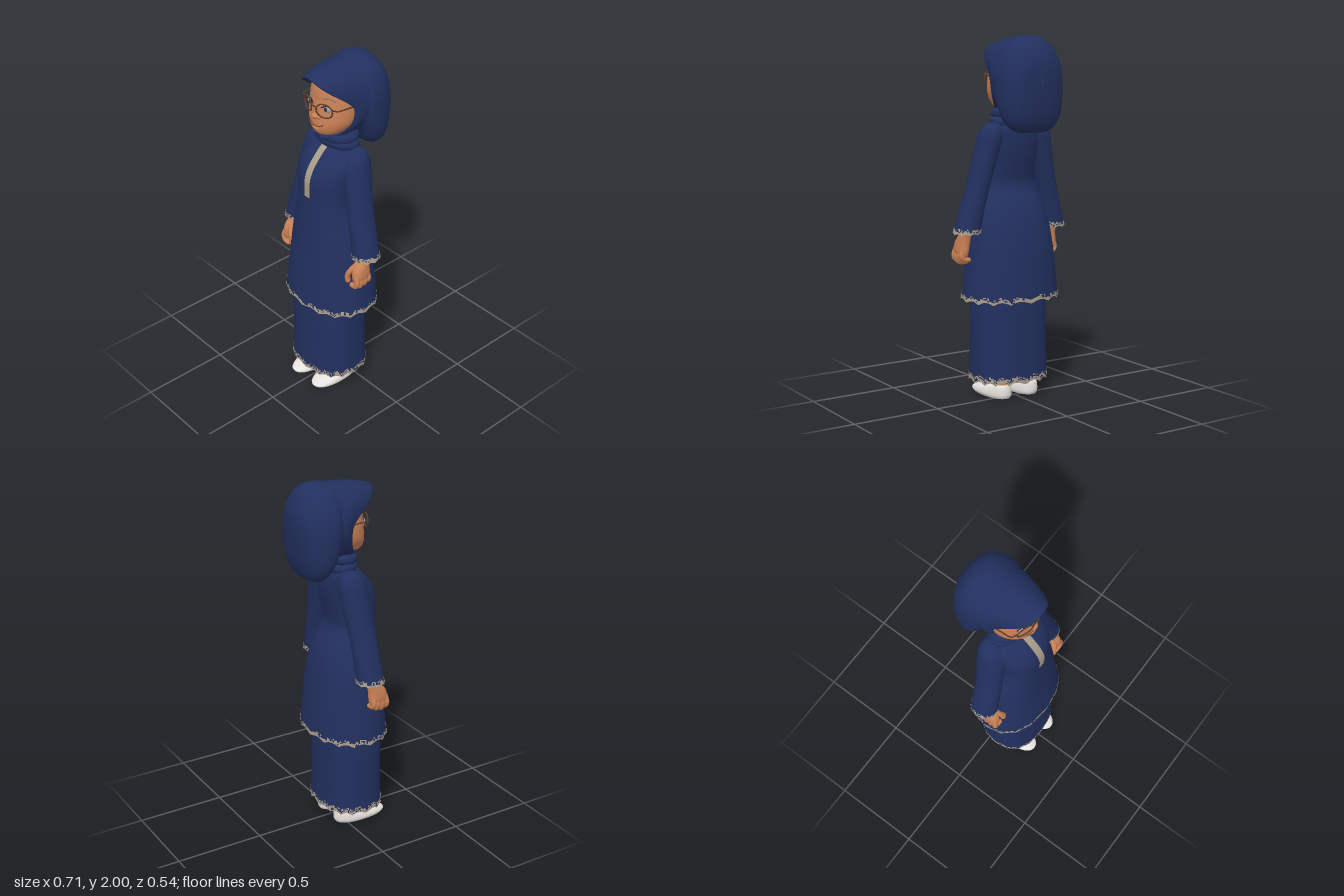
import * as THREE from 'three';

const mat = (name, color, double) => {
  const m = new THREE.MeshStandardMaterial({ color });
  m.name = name;
  if (double) m.side = THREE.DoubleSide;
  return m;
};
const spow = (v, p) => Math.sign(v) * Math.abs(v) ** p;

// Smooth resampling of cross-sections (arrays of numbers)
function refine(rows, k = 4) {
  const out = [], last = rows.length - 1;
  for (let i = 0; i < last; i++) {
    const [a, b, c, d] = [-1, 0, 1, 2].map(o => rows[Math.min(last, Math.max(0, i + o))]);
    for (let j = 0; j < k; j++) {
      const t = j / k;
      out.push(b.map((_, n) => b[n] + 0.5 * t * (c[n] - a[n] + t * (2 * a[n] - 5 * b[n] + 4 * c[n] - d[n]
        + t * (3 * (b[n] - c[n]) + d[n] - a[n])))));
    }
  }
  out.push(rows[last]);
  return out;
}

// Skin over a grid of points; closed joins the last column to the first
function surface(grid, closed = true) {
  const cols = grid[0].length, idx = [];
  for (let i = 0; i < grid.length - 1; i++)
    for (let j = 0; j < cols - (closed ? 0 : 1); j++) {
      const a = i * cols + j, b = i * cols + (j + 1) % cols;
      idx.push(a, b, a + cols, b, b + cols, a + cols);
    }
  const g = new THREE.BufferGeometry();
  g.setAttribute('position', new THREE.Float32BufferAttribute(grid.flat(2), 3));
  g.setIndex(idx);
  g.computeVertexNormals();
  return g;
}

// A ring is [y, half width, front z, back z, centre x], listed from top to bottom
function ringPoint([y, rx, zf, zb, cx], a, n, grow = 0, dy = 0) {
  return [cx + (rx + grow) * spow(Math.cos(a), 2 / n), y + dy,
    (zf + zb) / 2 + ((zf - zb) / 2 + grow) * spow(Math.sin(a), 2 / n)];
}
function loft(rings, { n = 2, cols = 64, hem, capTop, capEnd } = {}) {
  const grid = rings.map((r, i) => Array.from({ length: cols }, (_, j) => {
    const a = j / cols * Math.PI * 2;
    return ringPoint(r, a, n, 0, hem && i === rings.length - 1 ? hem(a) : 0);
  }));
  const cap = r => Array.from({ length: cols }, () => [r[4], r[0], (r[2] + r[3]) / 2]);
  if (capTop) grid.unshift(cap(rings[0]));
  if (capEnd) grid.push(cap(rings[rings.length - 1]));
  return surface(grid);
}
function ringAt(rings, y) {
  let i = 0;
  while (i < rings.length - 2 && rings[i + 1][0] > y) i++;
  const a = rings[i], b = rings[i + 1], t = THREE.MathUtils.clamp((a[0] - y) / (a[0] - b[0]), 0, 1);
  return a.map((v, k) => k ? v + (b[k] - v) * t : y);
}
function frontZ(rings, x, y, n) {
  const [, rx, zf, zb] = ringAt(rings, y);
  return (zf + zb) / 2 + (zf - zb) / 2 * (1 - Math.min(1, Math.abs(x / rx)) ** n) ** (1 / n);
}

// Broken lace border made of small cells that thin out upward
function lace(rings, hem, n, cells, rows, size, seed) {
  const rand = () => (seed = (seed * 16807) % 2147483647) / 2147483647;
  const y0 = rings[rings.length - 1][0], pos = [];
  const at = (j, k) => {
    const a = j / cells * Math.PI * 2, y = y0 + hem(a) + k * size;
    return ringPoint(ringAt(rings, y), a, n, 0.004);
  };
  for (let k = 0; k < rows; k++)
    for (let j = 0; j < cells; j++) {
      if (rand() > 0.97 - 0.75 * k / rows) continue;
      const a = at(j, k), b = at(j + 1, k), c = at(j + 1, k + 1), d = at(j, k + 1);
      pos.push(...d, ...c, ...a, ...c, ...b, ...a);
    }
  const g = new THREE.BufferGeometry();
  g.setAttribute('position', new THREE.Float32BufferAttribute(pos, 3));
  g.computeVertexNormals();
  return g;
}

function tube(points, radius, seg = 16, sides = 8) {
  return new THREE.TubeGeometry(new THREE.CatmullRomCurve3(points.map(p => new THREE.Vector3(...p))), seg, radius, sides);
}

export function createModel() {
  const root = new THREE.Group();
  root.name = 'standingWoman';
  const navy = mat('navy cloth', 0x22305f, true), skin = mat('skin', 0xca8155), white = mat('shoe white', 0xe6e2df);
  const beige = mat('beige lace', 0xa99c88, true), brown = mat('brown frame', 0x5c3d2b), grey = mat('brow grey', 0x8c7a70);
  const eye = mat('eye grey', 0x9a9ca8), dark = mat('pupil dark', 0x252a3c), lip = mat('lip', 0x8a4a34);
  const add = (name, geo, m, x = 0, y = 0, z = 0) => {
    const mesh = new THREE.Mesh(geo, m);
    mesh.name = name;
    mesh.position.set(x, y, z);
    root.add(mesh);
    return mesh;
  };
  const ball = (name, m, p, s) => add(name, new THREE.SphereGeometry(1, 20, 14), m, ...p).scale.set(...s);

  // Tunic and skirt with scalloped hems
  const tunic = refine([[1.57, .07, .05, -.055, 0], [1.53, .125, .08, -.07, 0], [1.49, .165, .125, -.078, 0],
    [1.42, .17, .185, -.076, 0], [1.35, .165, .213, -.066, 0], [1.27, .16, .215, -.048, 0], [1.19, .166, .216, -.038, 0],
    [1.1, .193, .219, -.08, 0], [1.0, .222, .225, -.115, 0], [.85, .247, .236, -.14, 0], [.7, .265, .25, -.152, 0],
    [.55, .28, .263, -.16, 0]]);
  const skirt = refine([[.66, .2, .225, -.09, 0], [.5, .212, .236, -.1, 0], [.3, .215, .24, -.102, 0], [.085, .218, .245, -.106, 0]]);
  const hemWave = a => 0.016 * Math.abs(Math.sin(8 * a));
  add('tunic', loft(tunic, { n: 2.3, cols: 128, hem: hemWave }), navy);
  add('tunicLace', lace(tunic, hemWave, 2.3, 160, 4, .007, 11), beige);
  add('skirt', loft(skirt, { n: 2.5, cols: 128, hem: hemWave }), navy);
  add('skirtLace', lace(skirt, hemWave, 2.5, 160, 5, .007, 37), beige);

  // Placket down the chest
  const strip = (hw, off) => surface(Array.from({ length: 15 }, (_, i) => {
    const y = 1.52 - i * 0.0193;
    return [-hw, hw].map(x => [x, y, frontZ(tunic, x, y, 2.3) + off]);
  }), false);
  add('placket', strip(.021, .005), beige);
  add('placketSeam', strip(.003, .007), grey);

  // Head and face
  const head = refine([[1.95, .03, .06, -.03, 0], [1.92, .085, .1, -.06, 0], [1.87, .124, .13, -.09, 0], [1.8, .14, .14, -.1, 0],
    [1.73, .142, .148, -.1, 0], [1.68, .132, .155, -.09, 0], [1.64, .105, .154, -.06, 0], [1.615, .075, .142, -.02, 0],
    [1.6, .035, .115, .03, 0]]);
  add('head', loft(head, { cols: 48, capTop: true, capEnd: true }), skin);
  const onFace = (x, y, off = 0) => [x, y, frontZ(head, x, y, 2) + off];
  ball('noseTip', skin, [0, 1.722, .156], [.023, .018, .02]);
  add('noseBridge', tube([[0, 1.8, .136], [0, 1.76, .148], [0, 1.725, .158]], .012), skin);
  add('mouth', tube([[-.052, 1.682], [-.03, 1.668], [0, 1.662], [.03, 1.668], [.052, 1.682]].map(p => onFace(...p, .001)), .0035), lip);
  ball('lowerLip', skin, onFace(0, 1.651, -.003), [.026, .008, .011]);
  for (const s of [1, -1]) {
    ball('nostrilWing', skin, [s * .02, 1.717, .147], [.012, .011, .013]);
    ball('eye', eye, onFace(s * .06, 1.772, -.003), [.029, .016, .01]);
    ball('pupil', dark, onFace(s * .058, 1.773, .004), [.012, .012, .006]);
    add('eyelid', tube([[.03, 1.774], [.058, 1.791], [.091, 1.775]].map(([x, y]) => onFace(s * x, y, .003)), .003), dark);
    add('eyebrow', tube([[.03, 1.822], [.065, 1.834], [.1, 1.82]].map(([x, y]) => onFace(s * x, y, .001)), .0035), grey);
    // Glasses
    const rim = add('glassesRim', new THREE.TorusGeometry(.048, .0042, 8, 32), brown, s * .063, 1.77, .15);
    rim.scale.y = .8;
    rim.rotation.y = s * .35;
    add('glassesArm', tube([[s * .107, 1.785, .133], [s * .135, 1.787, .118], [s * .142, 1.785, .06], [s * .143, 1.78, .01]], .004), brown);
  }
  add('glassesBridge', tube([[-.02, 1.775, .163], [0, 1.784, .168], [.02, 1.775, .163]], .004), brown);

  // Headscarf: [top z, top y, bottom z, bottom y, half width, side setback, top power, bottom power]
  const scarf = refine([[.11, 1.915, .08, 1.62, .137, .11, 1.2, 1], [.198, 1.946, .12, 1.587, .146, .14, 1.2, 1],
    [.185, 1.957, .12, 1.575, .152, .14, 1.1, 1], [.1, 1.976, .08, 1.568, .165, .1, 1, 1],
    [.02, 1.985, .03, 1.57, .173, .06, 1, 1], [-.055, 1.992, -.03, 1.57, .176, .02, 1, .95],
    [-.085, 1.998, -.06, 1.56, .19, .01, 1, .85], [-.14, 2, -.105, 1.51, .193, 0, .95, .65],
    [-.185, 1.985, -.15, 1.482, .187, 0, .9, .6], [-.222, 1.95, -.195, 1.487, .17, 0, .9, .6],
    [-.25, 1.9, -.225, 1.52, .14, 0, .9, .65], [-.266, 1.85, -.25, 1.6, .085, 0, .9, .8], [-.27, 1.77, -.265, 1.73, .01, 0, 1, 1]]);
  add('headscarf', surface(scarf.map(([tz, ty, bz, by, w, back, pt, pb]) => Array.from({ length: 64 }, (_, j) => {
    const t = j / 64 * Math.PI * 2, up = Math.cos(t) > 0, p = up ? pt : pb;
    const c = spow(Math.cos(t), p), m = (1 - c) / 2;
    return [w * spow(Math.sin(t), p), ty + (by - ty) * m,
      tz + (bz - tz) * m - back * Math.abs(Math.sin(t)) ** (up ? 4 : 1.4)];
  }))), navy);

  // Scarf rolls around the neck
  add('neckWrap', loft([[1.66, .09, .07, -.09, 0], [1.58, .105, .085, -.09, 0], [1.5, .115, .08, -.075, 0]]), navy);
  for (const [y, rx, rz, tilt] of [[1.54, .115, .075, -.12], [1.582, .108, .078, .12]]) {
    const roll = add('scarfRoll', new THREE.TorusGeometry(1, .27, 12, 48), navy, 0, y, .008);
    roll.rotation.x = Math.PI / 2 + tilt;
    roll.scale.set(rx, rz, .105);
  }

  for (const s of [1, -1]) {
    // Sleeve
    const sleeve = refine([[1.535, .012, .02, -.02, .13], [1.515, .05, .05, -.05, .142], [1.47, .067, .078, -.066, .152],
      [1.4, .066, .094, -.064, .168], [1.2, .061, .11, -.042, .216], [1.05, .066, .118, -.032, .255], [.93, .071, .124, -.026, .281]])
      .map(r => [...r.slice(0, 4), r[4] * s]);
    const cuffWave = a => 0.008 * Math.abs(Math.sin(5 * a));
    add('sleeve', loft(sleeve, { n: 2.1, cols: 60, hem: cuffWave, capTop: true }), navy);
    add('cuffLace', lace(sleeve, cuffWave, 2.1, 60, 4, .007, s > 0 ? 5 : 71), beige);

    // Hand with curled fingers
    const palm = refine([[1.0, .033, .085, .02, .272], [.93, .034, .098, .032, .28], [.88, .036, .138, .036, .285],
      [.83, .032, .148, .036, .29], [.8, .022, .142, .044, .288]]).map(r => [...r.slice(0, 4), r[4] * s]);
    add('palm', loft(palm, { n: 2.2, cols: 28, capEnd: true }), skin);
    [.137, .109, .081, .055].forEach((z, i) => {
      const low = .765 + [.004, -.004, 0, .012][i];
      const path = [[s * .298, .85, z * .9 + .008], [s * .309, .805, z], [s * .297, low + .012, z], [s * .268, low + .008, z]];
      add('finger', tube(path, .0148, 14, 10), skin);
      ball('fingertip', skin, path[3], [.0148, .0148, .0148]);
    });
    const thumb = [[s * .272, .905, .1], [s * .25, .86, .135], [s * .236, .825, .142], [s * .238, .795, .14]];
    add('thumb', tube(thumb, .015, 14, 10), skin);
    ball('thumbTip', skin, thumb[3], [.015, .015, .015]);

    // Leg and shoe
    add('leg', loft([[.5, .06, .1, -.03, s * .085], [.15, .045, .06, -.035, s * .085], [.09, .043, .065, -.04, s * .085],
      [.05, .046, .12, -.045, s * .085]], { cols: 24 }), skin);
    add('shoe', loft(refine([[.076, .044, .06, -.045, s * .087], [.07, .055, .1, -.052, s * .087], [.052, .067, .175, -.056, s * .087],
      [.032, .074, .24, -.058, s * .087], [.014, .075, .266, -.057, s * .087], [0, .068, .258, -.05, s * .087]]),
      { n: 2.2, cols: 40, capTop: true, capEnd: true }), white);
  }
  return root;
}
